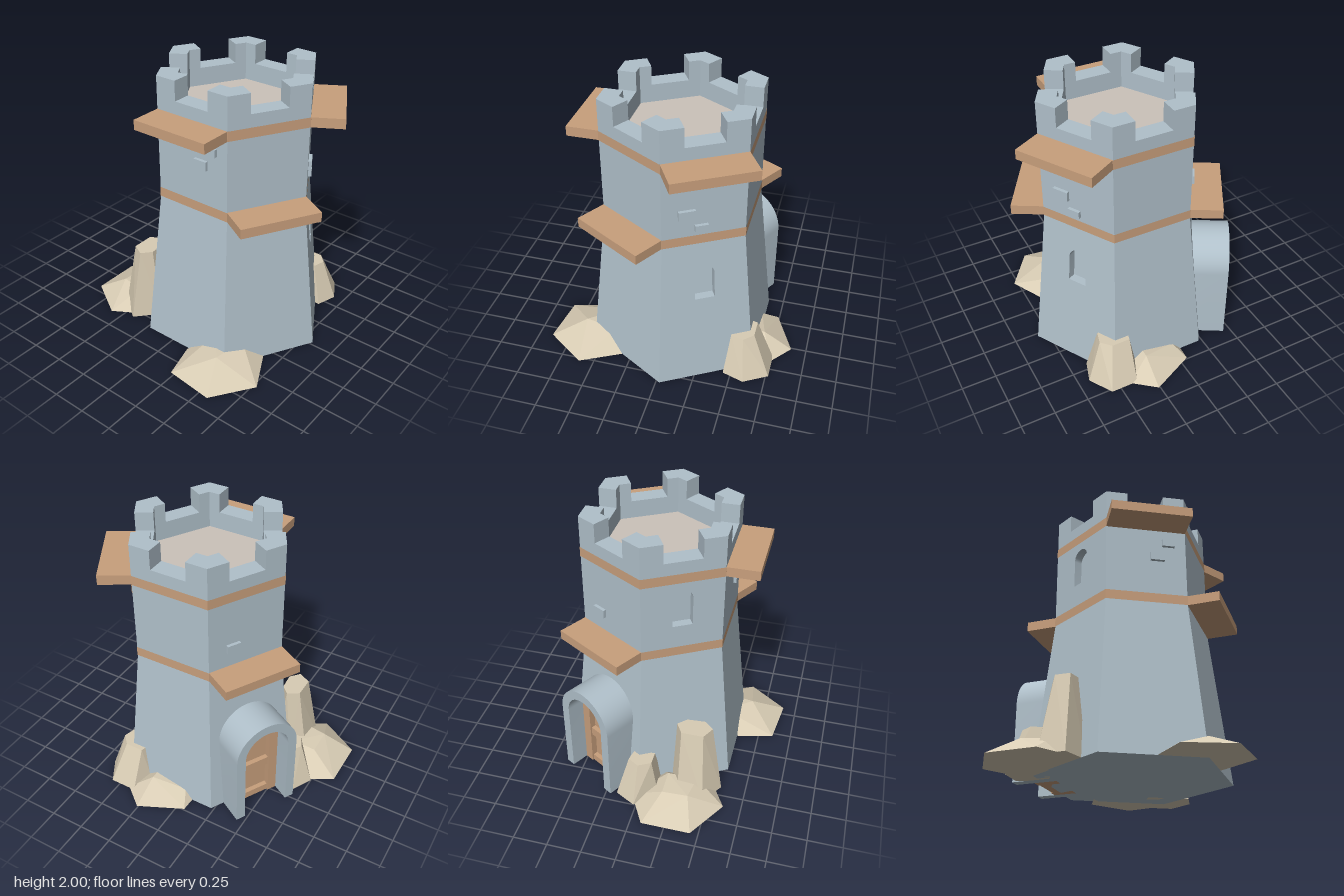
import * as THREE from 'three';
import { toCreasedNormals } from 'three/addons/utils/BufferGeometryUtils.js';
import { ConvexGeometry } from 'three/addons/geometries/ConvexGeometry.js';

const paint = (color, flatShading = false) => new THREE.MeshStandardMaterial({ color, flatShading });
const stone = paint(0xb0c0ca);
const wood = paint(0xc89f7c);
const rockMat = paint(0xd8ccb4, true);
const floorMat = paint(0xcbc2ba);
const bandMat = paint(0xc89f7c, true);
bandMat.side = THREE.DoubleSide;

// Hexagonal tower: corner radii, parapet thickness and heights
const R_BASE = 0.705, R_TOP = 0.575, T = 0.1275;
const WAIST = 1.12, CRENEL = 1.86, TOP = 2, FLOOR = 1.73;
const COS30 = Math.cos(Math.PI / 6), TAN30 = Math.tan(Math.PI / 6);
const apothem = y => COS30 * (R_BASE + (R_TOP - R_BASE) * Math.min(y / WAIST, 1));

function add(parent, name, geometry, material, x = 0, y = 0, z = 0) {
  const mesh = new THREE.Mesh(geometry, material);
  mesh.name = name;
  mesh.position.set(x, y, z);
  parent.add(mesh);
  return mesh;
}

// Box resting on a wall, reaching from distance z0 to z1 off the tower axis
function block(parent, name, material, x, y0, y1, w, z0, z1) {
  return add(parent, name, new THREE.BoxGeometry(w, y1 - y0, z1 - z0), material,
    x, (y0 + y1) / 2, (z0 + z1) / 2);
}

// Round-headed outline: half width w, from y0 to the springing line y1
function archOutline(target, w, y0, y1) {
  target.moveTo(-w, y0);
  target.lineTo(-w, y1);
  target.absarc(0, y1, w, Math.PI, 0, true);
  target.lineTo(w, y0);
  return target;
}

// Arch band open at the bottom
function archBand(w, wi, y1) {
  const s = archOutline(new THREE.Shape(), w, 0, y1);
  s.lineTo(wi, 0);
  s.lineTo(wi, y1);
  s.absarc(0, y1, wi, 0, Math.PI, false);
  s.lineTo(-wi, 0);
  return s;
}

function extrude(shape, z0, z1) {
  const g = new THREE.ExtrudeGeometry(shape, { depth: z1 - z0, bevelEnabled: false, curveSegments: 16 });
  return toCreasedNormals(g.translate(0, 0, z0), 0.5);
}

// One wall side: extruded inwards, mitred at its corners and leaned to the taper
function wallPanel(points, win) {
  const shape = new THREE.Shape(points.map(p => new THREE.Vector2(...p)));
  if (win) shape.holes.push(archOutline(new THREE.Path(), 0.07, win[0], win[1]));
  const g = new THREE.ExtrudeGeometry(shape, { depth: T, bevelEnabled: false, curveSegments: 10 });
  g.translate(0, 0, -T);
  const p = g.attributes.position;
  for (let i = 0; i < p.count; i++) {
    const x = p.getX(i), y = p.getY(i), z = p.getZ(i);
    if (Math.abs(x) > 0.28) p.setX(i, x + Math.sign(x) * z * TAN30);
    p.setZ(i, z + apothem(y));
  }
  return toCreasedNormals(g, 0.5);
}

// Back of a window niche
function nicheBack(parent, [y0, y1]) {
  const y = (y0 + y1 + 0.07) / 2;
  const m = add(parent, 'nicheBack', new THREE.BoxGeometry(0.17, y1 - y0 + 0.12, 0.04), stone, 0, y, apothem(y) - 0.08);
  if (y < WAIST) m.rotation.x = -Math.atan((R_BASE - R_TOP) * COS30 / WAIST);
}

// Rock from a ground outline and a smaller top outline (x, z, height)
function rock(parent, name, base, top) {
  const pts = [...base.map(([x, z]) => new THREE.Vector3(x, 0, z)),
    ...top.map(([x, z, y]) => new THREE.Vector3(x, y, z))];
  add(parent, name, new ConvexGeometry(pts), rockMat);
}

function doorway(side) {
  add(side, 'doorArch', extrude(archBand(0.245, 0.175, 0.57), 0.5, 0.8), stone);
  add(side, 'doorFrame', extrude(archBand(0.175, 0.105, 0.57), 0.5, 0.667), wood);
  add(side, 'doorLeaf', extrude(archOutline(new THREE.Shape(), 0.17, 0, 0.57), 0.5, 0.62), wood);
  block(side, 'doorCrossbar', wood, 0, 0.27, 0.34, 0.22, 0.6, 0.655);
  block(side, 'doorBottomRail', wood, 0, 0, 0.055, 0.22, 0.6, 0.655);
}

export function createModel() {
  const model = new THREE.Group();
  model.name = 'watchtower';
  const tower = new THREE.Group();
  tower.name = 'tower';
  tower.position.set(0.025, 0, 0.125);
  model.add(tower);

  // What each side carries: windows, ledge height, brick list [x, y0, y1, width], doorway
  const sides = [
    { angle: 30, low: [0.67, 0.865], ledge: 1.7, bricks: [[-0.12, 1.33, 1.4, 0.115], [-0.02, 1.225, 1.275, 0.09]] },
    { angle: 90 },
    { angle: 150, ledge: WAIST, bricks: [[-0.105, 1.31, 1.37, 0.1]], door: true },
    { angle: 210, high: [1.36, 1.57] },
    { angle: 270, ledge: 1.7, bricks: [[0.08, 1.45, 1.515, 0.1], [0.16, 1.57, 1.625, 0.09]] },
    { angle: 330, ledge: WAIST },
  ];
  const a = apothem(TOP), hw = R_TOP / 2, hb = R_BASE / 2, gap = 0.1325;
  for (const s of sides) {
    const side = new THREE.Group();
    side.name = 'towerSide';
    side.rotation.y = THREE.MathUtils.degToRad(s.angle);
    tower.add(side);
    add(side, 'lowerWall', wallPanel([[-hb, 0], [hb, 0], [hw, WAIST], [-hw, WAIST]], s.low), stone);
    add(side, 'upperWall', wallPanel([[-hw, WAIST], [hw, WAIST], [hw, TOP], [gap, TOP],
      [gap, CRENEL], [-gap, CRENEL], [-gap, TOP], [-hw, TOP]], s.high), stone);
    for (const win of [s.low, s.high]) if (win) nicheBack(side, win);
    if (s.ledge) block(side, 'ledge', wood, 0, s.ledge, s.ledge + 0.07, R_TOP, a - 0.02, a + 0.225);
    for (const [x, y0, y1, w] of s.bricks ?? []) block(side, 'brick', stone, x, y0, y1, w, a - 0.03, a + 0.023);
    if (s.door) doorway(side);
  }

  // Wooden bands, roof floor and underside
  for (const y of [WAIST, 1.7])
    add(tower, 'band', new THREE.CylinderGeometry(R_TOP + 0.003, R_TOP + 0.003, 0.07, 6, 1, true), bandMat, 0, y + 0.035, 0);
  add(tower, 'roofFloor', new THREE.CylinderGeometry(0.45, 0.45, 0.04, 6), floorMat, 0, FLOOR - 0.02, 0);
  add(tower, 'underside', new THREE.CylinderGeometry(0.69, 0.69, 0.02, 6), stone, 0, 0.01, 0);

  // Rocks around the foot
  rock(model, 'frontRightRock',
    [[-0.86, 0.22], [-0.9, 0.575], [-0.61, 0.78], [-0.3, 0.62], [-0.35, 0.2], [-0.6, 0.15]],
    [[-0.65, 0.46, 0.12], [-0.4, 0.5, 0.12], [-0.45, 0.3, 0.12]]);
  rock(model, 'leftRock',
    [[0.5, -0.07], [0.74, -0.06], [0.89, 0.26], [0.76, 0.42], [0.5, 0.43]],
    [[0.62, 0, 0.07], [0.68, 0.25, 0.12], [0.55, 0.25, 0.12]]);
  rock(model, 'frontLeftTallRock',
    [[0.77, 0.37], [0.77, 0.57], [0.6, 0.67], [0.445, 0.62], [0.45, 0.32], [0.62, 0.3]],
    [[0.64, 0.365, 0.31], [0.64, 0.5, 0.31], [0.57, 0.565, 0.31], [0.48, 0.54, 0.31], [0.48, 0.38, 0.31], [0.56, 0.345, 0.31]]);
  rock(model, 'backLowRock',
    [[-0.44, -0.9], [-0.08, -0.9], [0.06, -0.65], [-0.1, -0.35], [-0.5, -0.4], [-0.62, -0.6]],
    [[-0.37, -0.68, 0.13], [-0.18, -0.68, 0.12], [-0.18, -0.5, 0.13], [-0.4, -0.5, 0.13]]);
  rock(model, 'backTallRock',
    [[-0.57, -0.42], [-0.46, -0.585], [-0.265, -0.57], [-0.2, -0.465], [-0.22, -0.33], [-0.41, -0.27]],
    [[-0.43, -0.485, 0.55], [-0.27, -0.485, 0.55], [-0.22, -0.4, 0.55], [-0.28, -0.34, 0.55], [-0.41, -0.33, 0.55], [-0.48, -0.39, 0.55]]);
  rock(model, 'backMiddleRock',
    [[0.02, -0.75], [0.17, -0.67], [0.15, -0.45], [-0.13, -0.45], [-0.13, -0.6]],
    [[0.01, -0.65, 0.31], [0.09, -0.6, 0.31], [0.07, -0.5, 0.31], [-0.08, -0.5, 0.31], [-0.08, -0.6, 0.31]]);
  return model;
}
